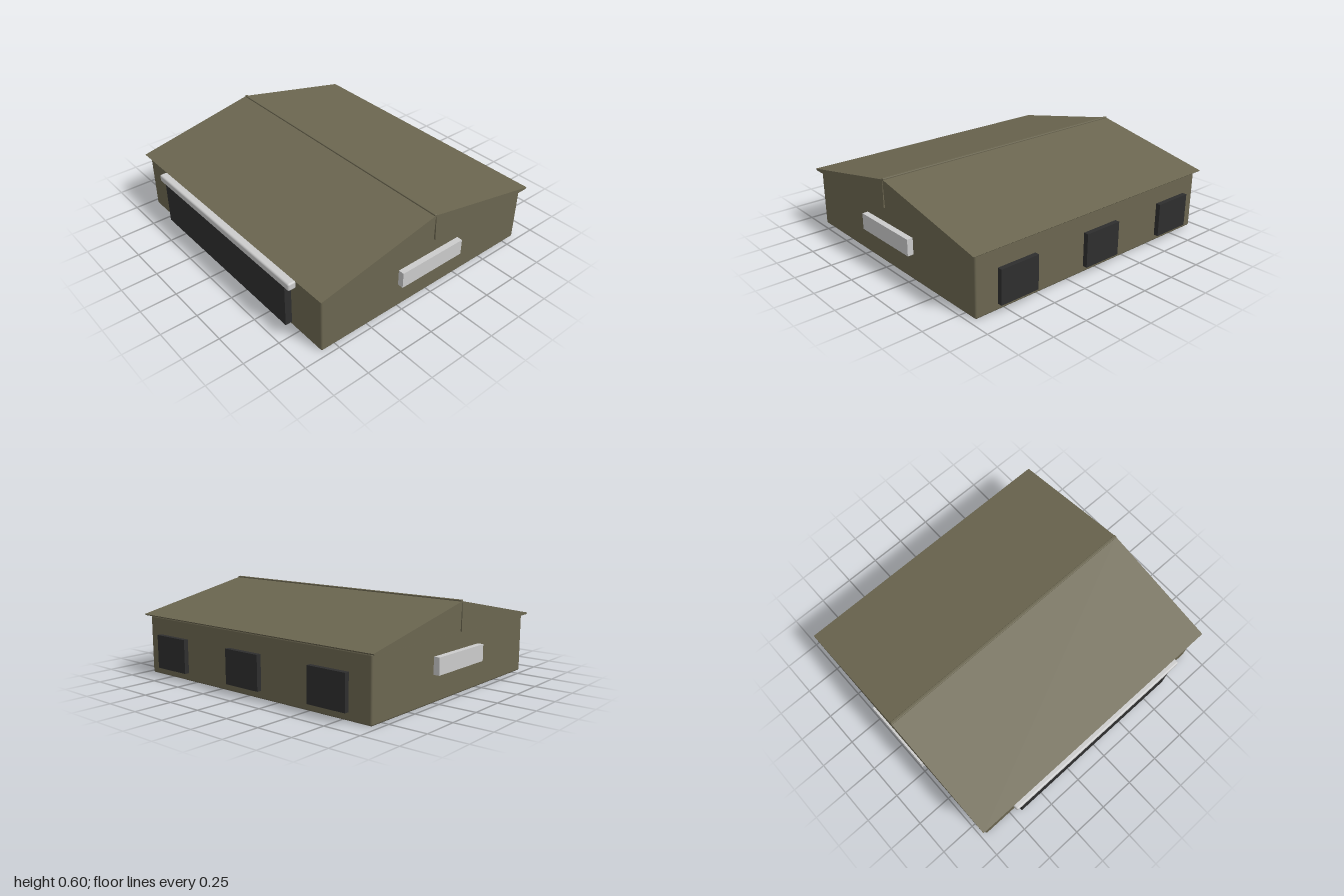
import * as THREE from 'three';
import { RoundedBoxGeometry } from 'three/addons/geometries/RoundedBoxGeometry.js';

export function createModel() {
  const model = new THREE.Group();
  model.name = 'building';
  const olive = new THREE.MeshStandardMaterial({ color: 0x6b6650 });
  const dark = new THREE.MeshStandardMaterial({ color: 0x2e2e2e });
  const grey = new THREE.MeshStandardMaterial({ color: 0xcccccc });

  const add = (name, geometry, material, x = 0, y = 0, z = 0) => {
    const mesh = new THREE.Mesh(geometry, material);
    mesh.name = name;
    mesh.position.set(x, y, z);
    model.add(mesh);
    return mesh;
  };
  // Box given by its limits on y and z, centred on x
  const box = (name, material, x, width, y0, y1, z0, z1, radius = 0) => {
    const size = [width, y1 - y0, z1 - z0];
    const geometry = radius
      ? new RoundedBoxGeometry(...size, 2, radius)
      : new THREE.BoxGeometry(...size);
    return add(name, geometry, material, x, (y0 + y1) / 2, (z0 + z1) / 2);
  };

  // Main hall with softened edges
  box('walls', olive, 0, 1.92, 0, 0.4, -0.85, 0.85, 0.012);

  // Two roof wedges, drawn as (z, y) profiles and extruded along x
  const wedge = (name, profile) => {
    const shape = new THREE.Shape(profile.map(([z, y]) => new THREE.Vector2(z, y)));
    const geometry = new THREE.ExtrudeGeometry(shape, { depth: 1.98, bevelEnabled: false });
    geometry.translate(0, 0, -0.99);
    geometry.rotateY(-Math.PI / 2);
    add(name, geometry, olive);
  };
  wedge('frontRoof', [[0.003, 0.4], [0.862, 0.4], [0.875, 0.41], [0.006, 0.588], [0.003, 0.588]]);
  wedge('backRoof', [[-0.012, 0.4], [-0.002, 0.588], [-0.006, 0.588], [-0.88, 0.41], [-0.867, 0.4]]);
  box('ridge', olive, 0, 1.98, 0.578, 0.597, -0.01, 0.01, 0.004);

  // Wide front door under a rounded head rail
  box('frontDoor', dark, 0, 1.36, 0.025, 0.34, 0.84, 0.897);
  box('doorRail', grey, 0, 1.47, 0.33, 0.383, 0.85, 0.907, 0.012);

  // Long panel on each side wall
  for (const side of [-1, 1]) {
    box(side > 0 ? 'leftPanel' : 'rightPanel', grey, side * 0.975, 0.05, 0.175, 0.285, -0.255, 0.255);
  }

  // Row of shutters standing just off the back wall
  for (const x of [-0.68, 0, 0.68]) {
    box('backShutter', dark, x, 0.28, 0.062, 0.288, -0.906, -0.874);
  }
  return model;
}
